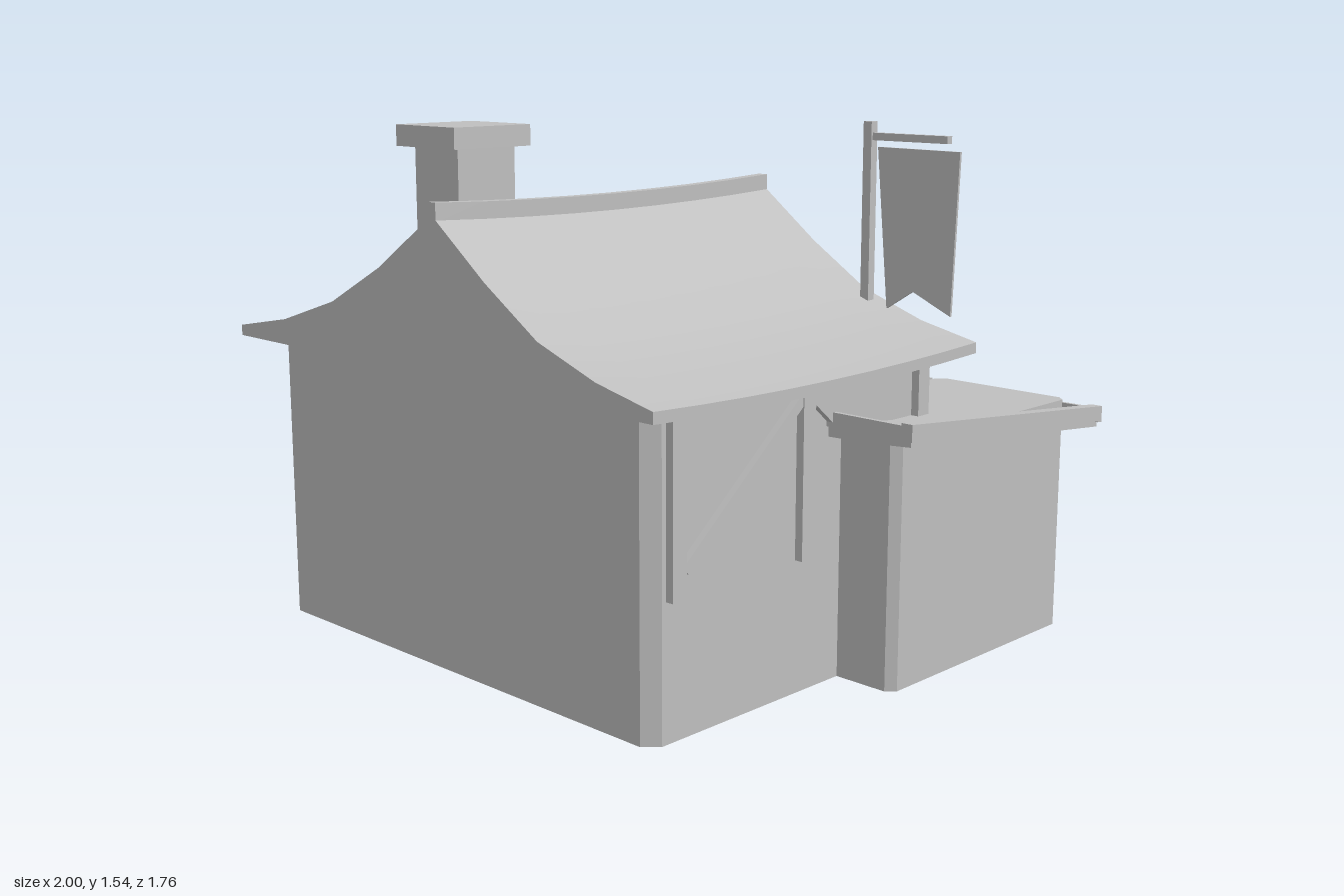
import * as THREE from 'three';
import { toCreasedNormals } from 'three/addons/utils/BufferGeometryUtils.js';

export function createModel() {
  const group = new THREE.Group();
  const grey = new THREE.MeshStandardMaterial({ color: 0xbfbfbf });
  grey.name = 'plain grey';

  const add = (name, geometry) => {
    const mesh = new THREE.Mesh(geometry, grey);
    mesh.name = name;
    group.add(mesh);
    return mesh;
  };
  // Box given by its limits on each axis
  const box = (name, x0, x1, y0, y1, z0, z1) => {
    const mesh = add(name, new THREE.BoxGeometry(x1 - x0, y1 - y0, z1 - z0));
    mesh.position.set((x0 + x1) / 2, (y0 + y1) / 2, (z0 + z1) / 2);
    return mesh;
  };
  // Straight timber between two points
  const beam = (name, a, b, w, h) => {
    const p = new THREE.Vector3(...a), q = new THREE.Vector3(...b);
    const mesh = add(name, new THREE.BoxGeometry(w, h, p.distanceTo(q)));
    mesh.position.copy(p).add(q).multiplyScalar(0.5);
    mesh.lookAt(q);
    return mesh;
  };
  // Block whose top and bottom follow height rules; xs lists the columns
  const slab = (name, xs, z0, z1, nz, top, bottom) => {
    const nx = xs.length - 1;
    const g = new THREE.BoxGeometry(1, 1, 1, nx, 1, nz);
    const p = g.attributes.position;
    for (let i = 0; i < p.count; i++) {
      const k = Math.round((p.getX(i) + 0.5) * nx);
      const z = z0 + (p.getZ(i) + 0.5) * (z1 - z0);
      p.setXYZ(i, xs[k], p.getY(i) > 0 ? top(k, z) : bottom(k, z), z);
    }
    return add(name, toCreasedNormals(g, 0.5));
  };
  // Wall block with chamfered upright corners
  const walls = (name, x0, x1, z0, z1, h, c) => {
    const s = new THREE.Shape([
      [x0 + c, -z1], [x1 - c, -z1], [x1, -z1 + c], [x1, -z0 - c],
      [x1 - c, -z0], [x0 + c, -z0], [x0, -z0 - c], [x0, -z1 + c],
    ].map(([x, y]) => new THREE.Vector2(x, y)));
    const g = new THREE.ExtrudeGeometry(s, { depth: h, bevelEnabled: false });
    g.rotateX(-Math.PI / 2);
    return add(name, g);
  };

  // Main house and sagging roof
  walls('houseWalls', -0.91, 0.71, -0.37, 0.8, 0.88, 0.04);
  const sag = (z) => -0.018 * (1 - ((z - 0.215) / 0.665) ** 2);
  const roofX = [-1, -0.76, -0.51, -0.28, -0.035, 0.18, 0.385, 0.6, 0.8];
  const roofY = [0.912, 0.957, 1.037, 1.157, 1.32, 1.16, 1.03, 0.955, 0.912];
  slab('mainRoof', roofX, -0.45, 0.88, 8, (k, z) => roofY[k] + sag(z), (k, z) => 0.88 + sag(z));
  slab('ridgeBeam', [-0.053, -0.018], -0.45, 0.88, 8, (k, z) => 1.355 + sag(z), (k, z) => 1.3 + sag(z));

  // Chimney
  box('chimneyStack', -0.625, -0.42, 0.9, 1.47, 0.26, 0.48);
  box('chimneyCap', -0.665, -0.385, 1.46, 1.525, 0.225, 0.52);

  // Eave posts and diagonal braces on both side walls
  for (const x of [-0.922, 0.722]) {
    for (const z of [0.72, 0.22, -0.29]) box('eavePost', x - 0.013, x + 0.013, 0.385, 0.875, z - 0.025, z + 0.025);
    for (const s of [1, -1]) {
      beam('eaveBrace', [x, 0.84, 0.22 + s * 0.02], [x, 0.46, 0.22 + s * 0.475], 0.02, 0.03);
    }
  }

  // Side annex with framed lean-to roof
  walls('annexWalls', 0.435, 0.905, -0.785, 0.055, 0.71, 0.025);
  const annexY = (z) => 0.755 + (z - 0.12) * 0.1;
  const annexDip = [0, 0.012, 0.016, 0.012, 0];
  slab('annexRoof', [0.36, 0.52, 0.675, 0.83, 0.99], -0.82, 0.11, 6,
    (k, z) => annexY(z) - annexDip[k], (k, z) => annexY(z) - annexDip[k] - 0.03);
  for (const [a, b] of [[0.35, 0.375], [0.965, 1]]) {
    slab('annexSideBeam', [a, b], -0.83, 0.12, 1, (k, z) => annexY(z) + 0.034, (k, z) => annexY(z) - 0.012);
  }
  for (const [a, b] of [[-0.83, -0.81], [0.1, 0.12]]) {
    slab('annexEndBeam', [0.35, 1], a, b, 1, (k, z) => annexY(z) + 0.027, (k, z) => annexY(z) - 0.015);
  }

  // Rear porch: curved roof, edge beams and two posts
  const porchY = (z) => {
    const t = (z + 0.875) / 0.465;
    return 0.68 + 0.12 * t - 0.07 * t * (1 - t);
  };
  const porchX = [-0.575, -0.46, -0.35, -0.24, -0.13, -0.02, 0.09];
  const porchDip = [0, 0.012, 0.02, 0.024, 0.02, 0.012, 0];
  slab('porchRoof', porchX, -0.87, -0.37, 6, (k, z) => porchY(z) - porchDip[k], (k, z) => porchY(z) - porchDip[k] - 0.025);
  for (const [a, b] of [[-0.59, -0.565], [0.08, 0.105]]) {
    slab('porchEdgeBeam', [a, b], -0.878, -0.41, 6, (k, z) => porchY(z) + 0.02, (k, z) => porchY(z) - 0.03);
  }
  for (const x of [-0.49, 0]) {
    box('porchPost', x - 0.027, x + 0.027, 0, 0.685, -0.79, -0.735);
    beam('porchPostBrace', [x, 0.54, -0.75], [x, 0.68, -0.58], 0.025, 0.025);
  }
  box('porchCrossBeam', -0.56, 0.08, 0.625, 0.655, -0.78, -0.745);

  // Stone doorway with arch and barred gate
  for (const x of [-0.355, -0.125]) {
    box('doorJamb', x - 0.04, x + 0.04, 0, 0.64, -0.46, -0.36);
    box('doorJambBase', x - 0.05, x + 0.05, 0, 0.09, -0.48, -0.36);
  }
  const arch = new THREE.Shape();
  arch.absarc(0, 0, 0.155, 0, Math.PI, false);
  arch.absarc(0, 0, 0.08, Math.PI, 0, true);
  const archMesh = add('doorArch', new THREE.ExtrudeGeometry(arch, { depth: 0.09, bevelEnabled: false, curveSegments: 6 }));
  archMesh.position.set(-0.24, 0.64, -0.46);
  box('keystone', -0.275, -0.205, 0.7, 0.825, -0.475, -0.37);
  for (let i = 0; i < 5; i++) {
    const x = -0.32 + i * 0.04;
    box('gateBar', x - 0.008, x + 0.008, 0.04, 0.7, -0.49, -0.475);
  }
  for (const y of [0.2, 0.38, 0.56]) box('gateRail', -0.36, -0.12, y - 0.015, y + 0.015, -0.505, -0.485);

  // Rear windows with frames and bars
  for (const x of [-0.615, 0.245]) {
    for (const y of [0.5, 0.82]) box('windowRail', x - 0.115, x + 0.115, y - 0.022, y + 0.022, -0.465, -0.36);
    for (const dx of [-0.075, 0.075]) box('windowJamb', x + dx - 0.02, x + dx + 0.02, 0.48, 0.84, -0.43, -0.36);
    for (const dx of [-0.022, 0.022]) box('windowBar', x + dx - 0.008, x + dx + 0.008, 0.5, 0.82, -0.415, -0.395);
    box('windowCrossbar', x - 0.07, x + 0.07, 0.652, 0.668, -0.415, -0.395);
  }
  box('rearCornerBeam', -0.9, -0.72, 0.44, 0.485, -0.4, -0.36);

  // Round target sign on a post
  box('signPost', -0.83, -0.78, 0, 0.46, -0.815, -0.775);
  const disc = (name, r, z0, z1) => {
    const g = new THREE.CylinderGeometry(r, r, z1 - z0, 10);
    g.rotateX(Math.PI / 2);
    const mesh = add(name, toCreasedNormals(g, 0.5));
    mesh.position.set(-0.805, 0.44, (z0 + z1) / 2);
  };
  disc('signDisc', 0.147, -0.855, -0.815);
  disc('signBoss', 0.073, -0.878, -0.85);

  // Row of spears
  for (const x of [0.125, 0.215, 0.31]) {
    box('spearShaft', x - 0.007, x + 0.007, 0, 0.57, -0.862, -0.848);
    const tip = add('spearTip', toCreasedNormals(new THREE.ConeGeometry(0.027, 0.06, 4), 0.3));
    tip.position.set(x, 0.585, -0.855);
  }

  // Banner on a roof pole
  box('bannerPole', 0.42, 0.45, 0.85, 1.54, -0.412, -0.384);
  box('bannerArm', 0.44, 0.72, 1.485, 1.507, -0.412, -0.39);
  const cloth = new THREE.Shape([[0.46, 1.465], [0.505, 0.985], [0.6, 1.045], [0.737, 0.985], [0.755, 1.463]]
    .map(([x, y]) => new THREE.Vector2(x, y)));
  const banner = add('bannerCloth', new THREE.ExtrudeGeometry(cloth, { depth: 0.008, bevelEnabled: false }));
  banner.position.z = -0.412;
  box('bannerBadge', 0.575, 0.615, 1.25, 1.43, -0.435, -0.41);

  return group;
}
